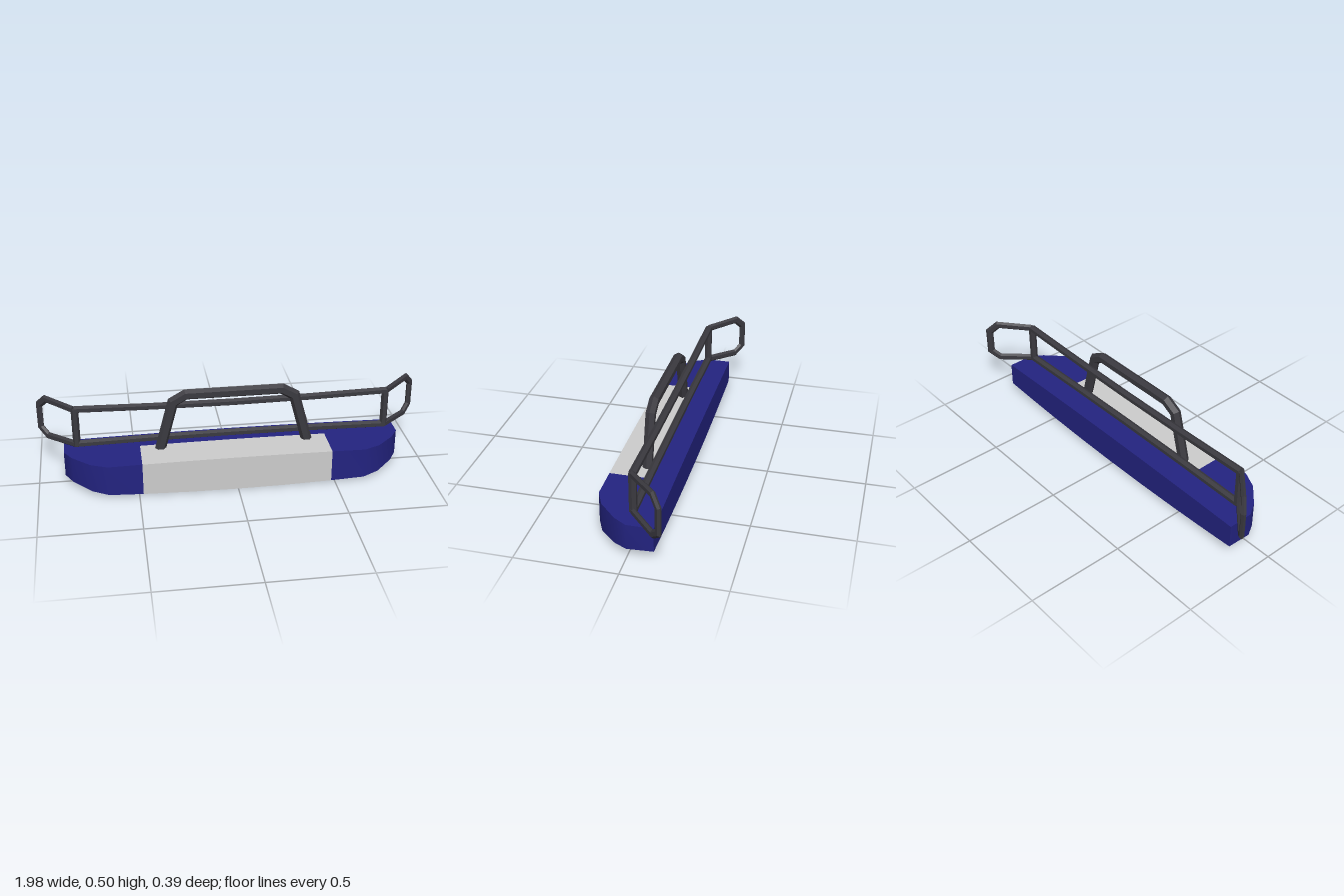
import * as THREE from 'three';
import { toCreasedNormals } from 'three/addons/utils/BufferGeometryUtils.js';

const V = (x, y, z) => new THREE.Vector3(x, y, z);

// Geometry from a list of corner loops, each split as a fan
function fromFaces(faces) {
  const pos = [];
  for (const f of faces) {
    for (let i = 1; i < f.length - 1; i++) {
      for (const p of [f[0], f[i], f[i + 1]]) pos.push(p.x, p.y, p.z);
    }
  }
  const geo = new THREE.BufferGeometry();
  geo.setAttribute('position', new THREE.Float32BufferAttribute(pos, 3));
  geo.computeVertexNormals();
  return geo;
}

// Faces between successive rings of points
function skin(rings, visit) {
  for (let i = 0; i < rings.length - 1; i++) {
    const n = rings[i].length;
    for (let k = 0; k < n; k++) {
      const j = (k + 1) % n;
      visit([rings[i][k], rings[i][j], rings[i + 1][j], rings[i + 1][k]], k, i);
    }
  }
}

// Mitred hexagonal bar along a path lying in the plane with the given normal
function hexBar(path, normal, inPlane, outPlane) {
  const rings = path.map((p, i) => {
    const a = path[Math.max(i - 1, 0)], b = path[Math.min(i + 1, path.length - 1)];
    const tIn = (i > 0 ? p.clone().sub(a) : b.clone().sub(p)).normalize();
    const tOut = (i < path.length - 1 ? b.clone().sub(p) : p.clone().sub(a)).normalize();
    const t = tIn.clone().add(tOut).normalize();
    const side = normal.clone().cross(t).divideScalar(t.dot(tIn));
    return Array.from({ length: 6 }, (_, k) => {
      const ang = (k * Math.PI) / 3;
      return p.clone()
        .addScaledVector(side, Math.cos(ang) * inPlane)
        .addScaledVector(normal, Math.sin(ang) * outPlane);
    });
  });
  const faces = [[...rings[0]].reverse(), rings[rings.length - 1]];
  skin(rings, f => faces.push(f));
  return fromFaces(faces);
}

export function createModel() {
  const model = new THREE.Group();
  model.name = 'bumper';
  const material = (name, color) => {
    const m = new THREE.MeshStandardMaterial({ color });
    m.name = name;
    return m;
  };
  const blue = material('blue paint', 0x232380);
  const grey = material('light grey panel', 0xcccccc);
  const black = material('black bar', 0x3a393f);
  const add = (name, geo, mat) => {
    const mesh = new THREE.Mesh(geo, mat);
    mesh.name = name;
    model.add(mesh);
  };

  // Bumper body: cross-sections along x, with rounded front corners
  const half = [[0.865, 0.005], [0.825, 0.07], [0.735, 0.157], [0.65, 0.196], [0.48, 0.196], [0.24, 0.196]];
  const stations = [
    ...half.map(([x, f]) => [-x, f]),
    [0, 0.196],
    ...half.slice().reverse(),
  ];
  const back = -0.125;
  const rings = stations.map(([x, front]) => {
    const bend = (x / 0.865) ** 2;
    const top = 0.184 - 0.01 * bend;
    const bottom = z => 0.003 + 0.0525 * (0.196 - z) + 0.03 * bend;
    return [
      V(x, bottom(back), back), V(x, top, back), V(x, top, 0),
      V(x, top, front), V(x, bottom(front), front),
    ];
  });
  const bodyFaces = [[...rings[0]].reverse(), rings[rings.length - 1]];
  const panelFaces = [];
  skin(rings, (f, k, i) => {
    const middle = Math.abs(stations[i][0] + stations[i + 1][0]) / 2 < 0.48;
    (middle && (k === 2 || k === 3) ? panelFaces : bodyFaces).push(f);
  });
  add('bumperBody', toCreasedNormals(fromFaces(bodyFaces), 0.6), blue);
  add('centrePanel', toCreasedNormals(fromFaces(panelFaces), 0.6), grey);

  // Front hoop standing on the panel
  const zAxis = V(0, 0, 1);
  const hoop = [[-0.378, 0.175], [-0.308, 0.435], [-0.243, 0.472]];
  const hoopPath = [...hoop, ...hoop.slice().reverse().map(([x, y]) => [-x, y])];
  add('frontHoop', hexBar(hoopPath.map(([x, y]) => V(x, y, 0.034)), zAxis, 0.028, 0.026), black);

  // Long rails, bowed slightly apart toward their ends
  const railZ = -0.013;
  for (const [name, mid, end] of [['upperRail', 0.392, 0.404], ['lowerRail', 0.22, 0.211]]) {
    const path = [-0.8, -0.4, 0, 0.4, 0.8].map(x =>
      V(x, mid + (end - mid) * (x / 0.8) ** 2, railZ));
    add(name, hexBar(path, zAxis, 0.019, 0.02), black);
  }

  // Posts and swept-back end guards on both sides
  const guard = [[0, 0.404], [0.79, 0.411], [1, 0.366], [1, 0.239], [0.79, 0.202], [0, 0.211]];
  for (const s of [1, -1]) {
    const label = s > 0 ? 'left' : 'right';
    add(label + 'Post', hexBar([V(s * 0.796, 0.205, railZ), V(s * 0.796, 0.408, railZ)], zAxis, 0.019, 0.02), black);
    const path = guard.map(([u, y]) => V(s * (0.803 + 0.174 * u), y, railZ - 0.163 * u));
    const normal = V(s * 0.163, 0, 0.174).normalize();
    add(label + 'EndGuard', hexBar(path, normal, 0.02, 0.013), black);
  }
  return model;
}
